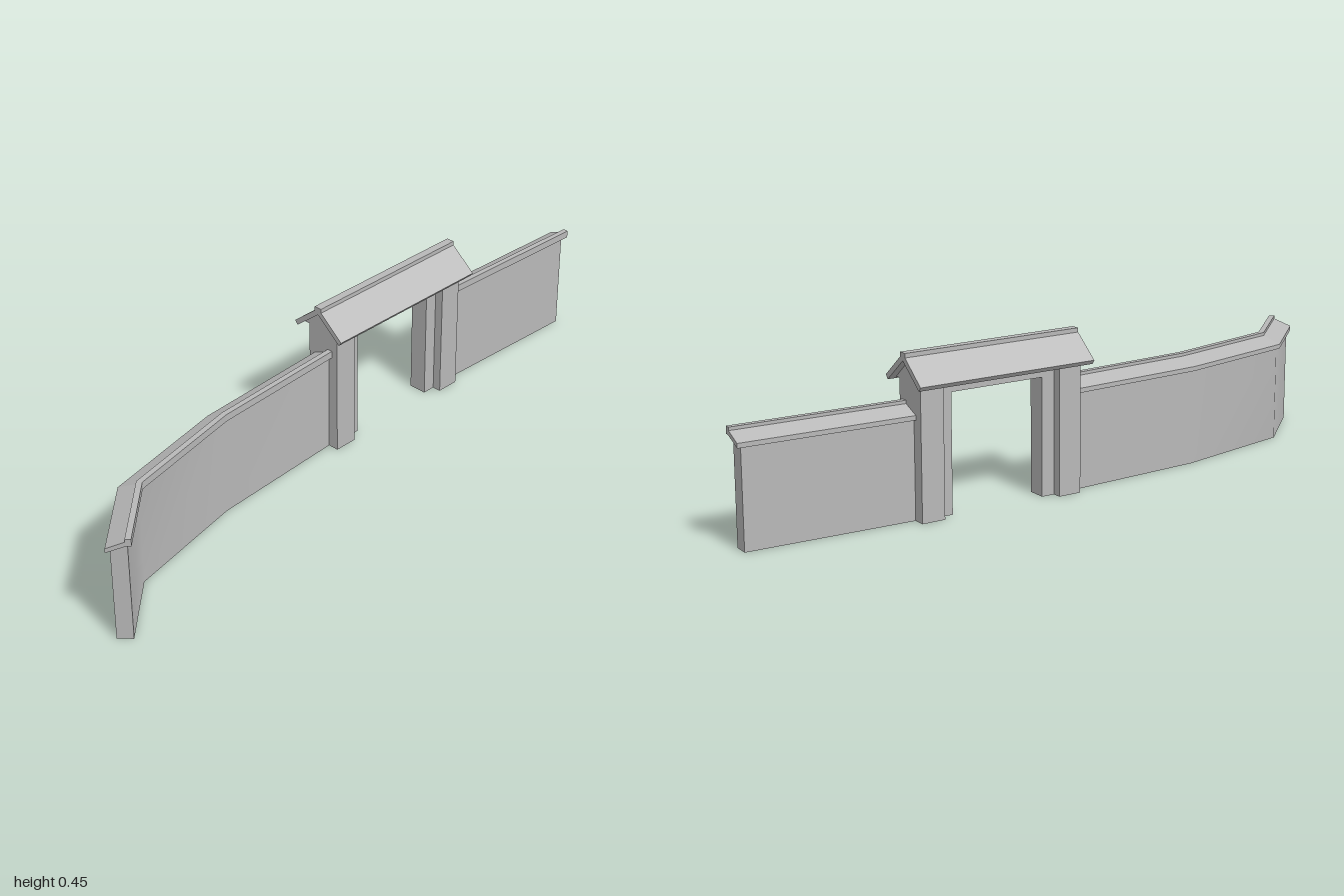
import * as THREE from 'three';

// Sweeps a clockwise (side, height) profile along a plan path [x, z] with mitred bends.
// Every profile edge gets its own strip, so edges stay sharp and bends may be smooth.
function sweep(profile, path, smooth) {
  const pos = [], idx = [];
  const norm = ([x, z]) => { const l = Math.hypot(x, z); return [x / l, z / l]; };
  const dirs = path.slice(1).map((p, i) => norm([p[0] - path[i][0], p[1] - path[i][1]]));
  const rings = path.map(([x, z], i) => {
    const a = dirs[Math.max(i - 1, 0)], b = dirs[Math.min(i, dirs.length - 1)];
    const t = norm([a[0] + b[0], a[1] + b[1]]);
    const k = 1 / (t[0] * a[0] + t[1] * a[1]);
    return profile.map(([s, y]) => [x + t[1] * s * k, y, z - t[0] * s * k]);
  });
  profile.forEach((_, j) => {
    const base = pos.length / 3, n = (j + 1) % profile.length;
    rings.forEach((r) => pos.push(...r[j], ...r[n]));
    for (let i = 0; i < rings.length - 1; i++) {
      const a = base + i * 2;
      idx.push(a, a + 2, a + 3, a, a + 3, a + 1);
    }
  });
  // end faces
  const contour = profile.map(([s, y]) => new THREE.Vector2(s, y)).reverse();
  const tris = THREE.ShapeUtils.triangulateShape(contour, []);
  [rings[0], rings[rings.length - 1]].forEach((ring, end) => {
    const base = pos.length / 3;
    [...ring].reverse().forEach((p) => pos.push(...p));
    tris.forEach(([a, b, c]) => idx.push(base + a, base + (end ? b : c), base + (end ? c : b)));
  });
  let geo = new THREE.BufferGeometry();
  geo.setAttribute('position', new THREE.Float32BufferAttribute(pos, 3));
  geo.setIndex(idx);
  if (!smooth) geo = geo.toNonIndexed();
  geo.computeVertexNormals();
  return geo;
}

export function createModel() {
  const model = new THREE.Group();
  model.name = 'gatedWall';
  const stone = new THREE.MeshStandardMaterial({ color: 0xb8b8b8 });
  stone.name = 'grey stone';

  const add = (parent, name, geo) => {
    const mesh = new THREE.Mesh(geo, stone);
    mesh.name = name;
    parent.add(mesh);
    return mesh;
  };

  // Walls with a lean-to coping that has a raised strip along its high edge
  const bodyProfile = [[-0.022, 0], [-0.022, 0.281], [0.022, 0.299], [0.022, 0]];
  const copingProfile = [
    [-0.032, 0.275], [-0.032, 0.288], [0.018, 0.309], [0.018, 0.318],
    [0.034, 0.318], [0.034, 0.297], [0.022, 0.297],
  ];
  const bends = [[-0.088, -0.02], [-0.077, 0.42], [-0.012, 0.79]];
  const backStart = [-0.068, -0.48];
  add(model, 'frontWall', sweep(bodyProfile, [...bends, [0.142, 0.968]], true));
  add(model, 'frontWallCoping', sweep(copingProfile, [...bends, [0.149, 0.977]], false));
  add(model, 'backWall', sweep(bodyProfile, [[-0.034, -0.985], backStart], true));
  add(model, 'backWallCoping', sweep(copingProfile, [[-0.033, -0.998], backStart], false));

  // Gate, centred on its own origin and turned slightly
  const gate = new THREE.Group();
  gate.name = 'gate';
  gate.position.set(-0.0785, 0, -0.252);
  gate.rotation.y = -0.033;
  model.add(gate);

  const box = (name, w, y0, y1, z0, z1) => {
    const mesh = add(gate, name, new THREE.BoxGeometry(w, y1 - y0, Math.abs(z1 - z0)));
    mesh.position.set(0, (y0 + y1) / 2, (z0 + z1) / 2);
  };
  for (const side of [1, -1]) {
    const end = side > 0 ? 'front' : 'back';
    box(end + 'Post', 0.107, 0, 0.373, side * 0.181, side * 0.25);
    box(end + 'Jamb', 0.055, 0, 0.373, side * 0.142, side * 0.182);
  }
  box('lintel', 0.055, 0.335, 0.373, -0.143, 0.143);

  // Roof: a gable filling under a folded slab with a square ridge
  const prism = (name, half, length) => {
    const left = half.filter(([x]) => x > 0).map(([x, y]) => [-x, y]).reverse();
    const shape = new THREE.Shape([...half, ...left].map(([x, y]) => new THREE.Vector2(x, y)));
    const geo = new THREE.ExtrudeGeometry(shape, { depth: length, bevelEnabled: false });
    add(gate, name, geo.translate(0, 0, -length / 2));
  };
  prism('gable', [[0.07, 0.372], [0, 0.431]], 0.5);
  prism('roof', [
    [0, 0.43], [0.08, 0.365], [0.089, 0.377], [0.012, 0.44], [0.012, 0.452],
  ], 0.54);

  return model;
}
